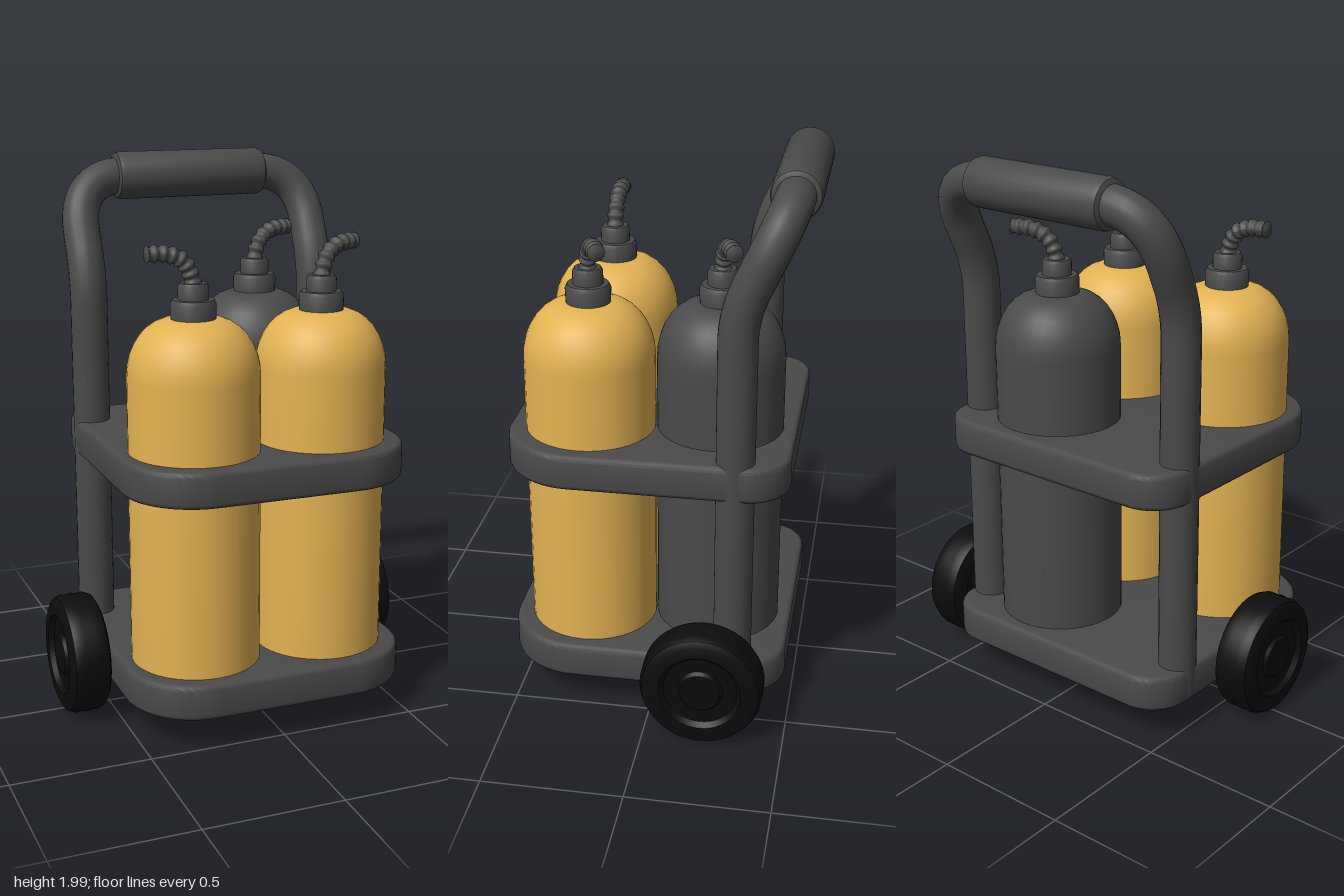
import * as THREE from 'three';
import { toCreasedNormals } from 'three/addons/utils/BufferGeometryUtils.js';

const V = (x, y, z) => new THREE.Vector3(x, y, z);

export function createModel() {
  const model = new THREE.Group();
  const mat = (name, color) => {
    const m = new THREE.MeshStandardMaterial({ color });
    m.name = name;
    return m;
  };
  const grey = mat('dark grey', 0x4a4a4a);
  const yellow = mat('warm yellow', 0xe2b252);
  const black = mat('tyre black', 0x0c0c0c);

  const add = (parent, name, geometry, material, x = 0, y = 0, z = 0) => {
    const mesh = new THREE.Mesh(geometry, material);
    mesh.name = name;
    mesh.position.set(x, y, z);
    parent.add(mesh);
    return mesh;
  };
  // profile runs from bottom to top as [radius, height]
  const lathe = (profile, sides = 40) => toCreasedNormals(
    new THREE.LatheGeometry(profile.map(([r, y]) => new THREE.Vector2(r, y)), sides), 0.6);

  // Rounded plates: broad corners in front, tighter ones behind
  const bevel = 0.018;
  const plate = () => {
    const w = 0.52 - bevel, f = 0.54 - bevel, b = -0.48 + bevel, rf = 0.24, rb = 0.13;
    const s = new THREE.Shape();
    s.moveTo(-w + rb, b);
    s.lineTo(w - rb, b);
    s.absarc(w - rb, b + rb, rb, -Math.PI / 2, 0);
    s.lineTo(w, f - rf);
    s.absarc(w - rf, f - rf, rf, 0, Math.PI / 2);
    s.lineTo(-w + rf, f);
    s.absarc(-w + rf, f - rf, rf, Math.PI / 2, Math.PI);
    s.lineTo(-w, b + rb);
    s.absarc(-w + rb, b + rb, rb, Math.PI, Math.PI * 1.5);
    const g = new THREE.ExtrudeGeometry(s, {
      depth: 0.13 - 2 * bevel, bevelThickness: bevel, bevelSize: bevel,
      bevelSegments: 3, curveSegments: 12,
    });
    g.rotateX(Math.PI / 2);
    return toCreasedNormals(g, 0.6);
  };
  add(model, 'basePlate', plate(), grey, 0, 0.26 - bevel, 0);
  add(model, 'holderPlate', plate(), grey, 0, 1.025 - bevel, 0);

  // Bent frame tube, with a thicker grip across the top
  const half = (s) => {
    const p = (y, z) => V(s * 0.455, y, z);
    return [
      new THREE.LineCurve3(p(0.16, -0.295), p(1.46, -0.295)),
      new THREE.QuadraticBezierCurve3(p(1.46, -0.295), p(1.55, -0.295), p(1.64, -0.332)),
      new THREE.LineCurve3(p(1.64, -0.332), p(1.72, -0.369)),
      new THREE.CubicBezierCurve3(p(1.72, -0.369), p(1.845, -0.427),
        V(s * 0.385, 1.91, -0.455), V(s * 0.27, 1.91, -0.455)),
      new THREE.LineCurve3(V(s * 0.27, 1.91, -0.455), V(0, 1.91, -0.455)),
    ];
  };
  [['leftFrameTube', 1], ['rightFrameTube', -1]].forEach(([name, s]) => {
    const path = new THREE.CurvePath();
    half(s).forEach((c) => path.add(c));
    add(model, name, new THREE.TubeGeometry(path, 90, 0.068, 20), grey);
  });
  const grip = lathe([[0, -0.295], [0.07, -0.295], [0.083, -0.288], [0.088, -0.272],
    [0.088, 0.272], [0.083, 0.288], [0.07, 0.295], [0, 0.295]], 32);
  add(model, 'handleGrip', grip.rotateZ(-Math.PI / 2), grey, -0.005, 1.91, -0.455);

  // Corrugated hose: a bent tube whose rings swell and shrink
  const hoseGeometry = () => {
    const rings = 56, sides = 14;
    const path = new THREE.CatmullRomCurve3([
      V(0, 1.58, 0), V(0.005, 1.63, 0), V(0.035, 1.685, 0), V(0.09, 1.712, 0), V(0.17, 1.716, 0),
    ]);
    const g = new THREE.TubeGeometry(path, rings, 0.03, sides);
    const pos = g.attributes.position, v = new THREE.Vector3();
    for (let i = 0; i <= rings; i++) {
      const c = path.getPointAt(i / rings);
      const k = i === rings ? 0.01 : 0.92 + 0.14 * Math.cos((i / rings) * Math.PI * 2 * 8);
      for (let j = 0; j <= sides; j++) {
        const n = i * (sides + 1) + j;
        v.fromBufferAttribute(pos, n).sub(c).multiplyScalar(k).add(c);
        pos.setXYZ(n, v.x, v.y, v.z);
      }
    }
    g.computeVertexNormals();
    return g;
  };

  // Gas bottles with domed shoulders, valve collars and hoses
  const bottle = (name, x, z, radius, material, hoseAngle) => {
    const group = new THREE.Group();
    group.name = name;
    group.position.set(x, 0, z);
    const profile = [[0, 0.24], [radius, 0.24], [radius, 1.29]];
    for (let i = 1; i <= 8; i++) {
      const a = (i / 8) * Math.PI / 2;
      profile.push([0.075 + (radius - 0.075) * Math.cos(a), 1.29 + 0.2 * Math.sin(a)]);
    }
    profile.push([0, 1.49]);
    add(group, 'bottleBody', lathe(profile), material);
    add(group, 'valveCollar', lathe([[0.078, 1.48], [0.08, 1.54], [0.072, 1.555],
      [0.053, 1.555], [0.053, 1.6], [0.046, 1.612], [0, 1.612]], 28), grey);
    add(group, 'hose', hoseGeometry(), grey).rotation.y = hoseAngle;
    model.add(group);
  };
  bottle('frontRightBottle', -0.245, 0.252, 0.232, yellow, Math.PI);
  bottle('frontLeftBottle', 0.233, 0.252, 0.232, yellow, 0.4);
  bottle('backLeftBottle', 0.167, -0.205, 0.226, grey, 0.36);

  // Wheels with rounded tyres, a shallow dish and a raised hub
  const tyre = () => lathe([[0, -0.06], [0.13, -0.06], [0.145, -0.073], [0.185, -0.073],
    [0.207, -0.062], [0.217, -0.04], [0.214, -0.02], [0.218, 0], [0.214, 0.02],
    [0.217, 0.04], [0.207, 0.062], [0.185, 0.073], [0.145, 0.073], [0.13, 0.055],
    [0.08, 0.055], [0.07, 0.068], [0, 0.068]], 48);
  [['leftWheel', 1, 0.61, -0.21], ['rightWheel', -1, -0.617, 0.007]].forEach(([name, s, x, z]) => {
    const group = new THREE.Group();
    group.name = name;
    group.position.set(x, 0.225, z);
    add(group, 'tyre', tyre().rotateZ(-s * Math.PI / 2), black);
    const axle = new THREE.CylinderGeometry(0.035, 0.035, 0.12, 20).rotateZ(Math.PI / 2);
    add(group, 'axleStub', axle, black, -s * 0.1);
    model.add(group);
  });

  return model;
}
